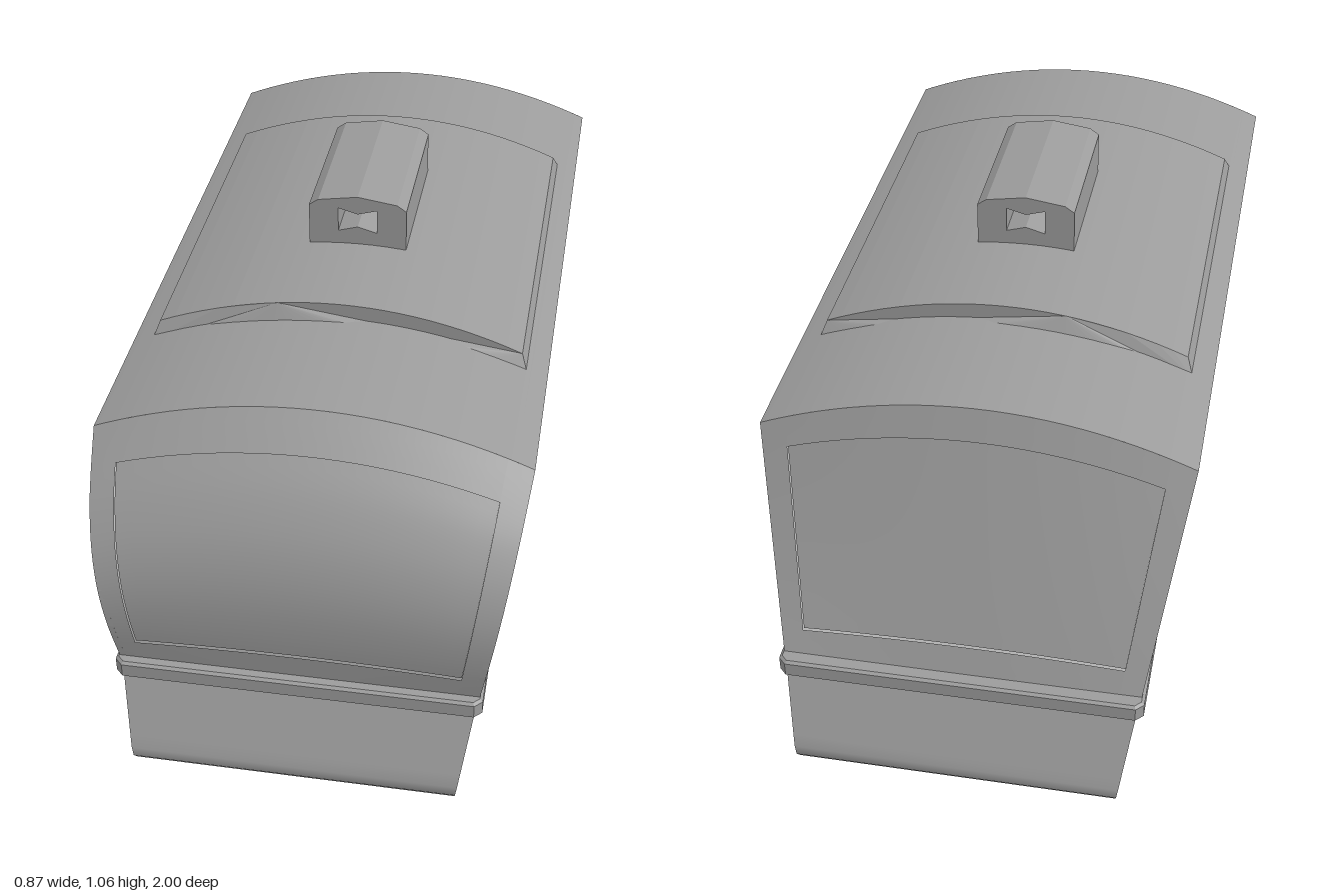
import * as THREE from 'three';

const shellMat = new THREE.MeshStandardMaterial({ color: 0x9c9c9c, side: THREE.DoubleSide });
const liningMat = new THREE.MeshStandardMaterial({ color: 0xcccccc, side: THREE.DoubleSide });

// Piecewise linear lookup in a list of [key, value]
function lookup(list, k) {
  for (let i = 1; i < list.length; i++) {
    const [a, va] = list[i - 1], [b, vb] = list[i];
    if (k <= b) return va + (vb - va) * Math.max(0, (k - a) / (b - a));
  }
  return list[list.length - 1][1];
}

// Hull rules by height: end position and half width
const hullEnd = [[0, 0.48], [0.14, 0.923], [0.152, 0.96], [0.165, 0.983], [0.185, 0.998], [0.205, 0.996], [0.23, 0.985], [0.35, 0.93]];
const hullWidth = [[0, 0.29], [0.16, 0.327], [0.35, 0.357]];

// Cabin rules: t runs from belt (0) to eave (1), u across the width (-1..1)
const Y0 = 0.38, EAVE = 0.82, CROWN = 0.092;
const cabinWidth = (y) => 0.364 + (0.071 * (y - Y0)) / (EAVE - Y0);
const roofY = (u) => EAVE + CROWN * (1 - u * u);
const nose = new THREE.SplineCurve([[0, 0.918], [0.22, 0.93], [0.42, 0.925], [0.6, 0.898], [0.76, 0.85], [0.88, 0.795], [1, 0.73]]
  .map(([t, z]) => new THREE.Vector2(t, z)));
const nosePts = nose.getPoints(24).map((p) => [p.x, p.y]);
const noseZ = (t) => lookup(nosePts, t);
const tailZ = (t) => -0.915 + 0.195 * t;
const cabinEnd = (zOf, off = 0, dir = 1) => (u, t) =>
  [dir * u * (0.364 + 0.071 * t), Y0 + t * (roofY(u) - Y0), zOf(t) + off];

function add(parent, name, geometry, [x, y, z] = [0, 0, 0], material = shellMat) {
  const m = new THREE.Mesh(geometry, material);
  m.name = name;
  m.position.set(x, y, z);
  parent.add(m);
  return m;
}

// Surface patch: f(u, v) gives a point, u and v inside the given ranges
function patch(f, nu, nv, [u0, u1] = [-1, 1], [v0, v1] = [0, 1]) {
  const g = new THREE.PlaneGeometry(1, 1, nu, nv), p = g.attributes.position;
  for (let i = 0; i < p.count; i++) {
    p.setXYZ(i, ...f(u0 + (p.getX(i) + 0.5) * (u1 - u0), v0 + (p.getY(i) + 0.5) * (v1 - v0)));
  }
  g.computeVertexNormals();
  return g;
}

const shapeOf = (pts) => new THREE.Shape(pts.map(([a, b]) => new THREE.Vector2(a, b)));

// Plate drawn in (z, y), leaned against a side whose half width is width(y)
function sidePlate(shape, width, depth, inset) {
  const g = new THREE.ExtrudeGeometry(shape, { depth, bevelEnabled: false, curveSegments: 8 });
  const p = g.attributes.position;
  for (let i = 0; i < p.count; i++) {
    const z = p.getX(i), y = p.getY(i), w = p.getZ(i);
    p.setXYZ(i, width(y) - inset - w, y, z);
  }
  g.computeVertexNormals();
  return g;
}

// Rounded at the outer end only, for the lower side panels
function lowerPanel(z0, z1) {
  const s = new THREE.Shape(), d = Math.sign(z1 - z0) * 0.05;
  s.moveTo(z0, 0.215);
  s.lineTo(z1 - d, 0.215);
  s.quadraticCurveTo(z1, 0.22, z1, 0.27);
  s.quadraticCurveTo(z1 - d * 0.2, 0.33, z1 - d, 0.33);
  s.lineTo(z0, 0.33);
  return s;
}

function buildHull(group) {
  const hull = new THREE.Group();
  hull.name = 'hull';
  const ys = hullEnd.map((e) => e[0]), n = ys.length - 1;
  const at = (v) => ys[Math.round(v * n)];
  for (const s of [1, -1]) {
    add(hull, 'hullEnd', patch((u, v) => [u * lookup(hullWidth, at(v)), at(v), lookup(hullEnd, at(v))], 1, n)).scale.z = s;
    add(hull, 'hullSide', patch((u, v) => [lookup(hullWidth, at(v)), at(v), -u * lookup(hullEnd, at(v))], 1, n)).scale.x = s;
    const panels = [lowerPanel(0.515, 0.885), lowerPanel(-0.5, -0.88),
      shapeOf([[-0.43, 0.215], [0.45, 0.215], [0.45, 0.33], [-0.43, 0.33]])];
    for (const p of panels) {
      add(hull, 'lowerPanel', sidePlate(p, (y) => lookup(hullWidth, y), 0.002, -0.0015)).scale.x = s;
    }
  }
  add(hull, 'hullBottom', patch((u, v) => [u * 0.29, 0, (1 - 2 * v) * -0.48], 1, 1));
  group.add(hull);
}

function buildBelt(group) {
  const ring = (x, z, c) => [[x - c, -z], [x, c - z], [x, z - c], [x - c, z], [c - x, z], [-x, z - c], [-x, c - z], [c - x, -z]];
  const s = shapeOf(ring(0.366, 0.936, 0.012));
  s.holes.push(shapeOf(ring(0.34, 0.9, 0.01)));
  const g = new THREE.ExtrudeGeometry(s, { depth: 0.03, bevelThickness: 0.005, bevelSize: 0.006, bevelSegments: 1 });
  g.rotateX(-Math.PI / 2);
  add(group, 'belt', g, [0, 0.354, 0]);
}

// Curved end wall: a frame of four strips around a recessed window
function buildEnd(cabin, name, zOf, dir) {
  const w = 0.88, t0 = 0.12, t1 = 0.88, f = cabinEnd(zOf, 0, dir);
  add(cabin, name + 'Frame', patch(f, 2, 25, [-1, -w]));
  add(cabin, name + 'Frame', patch(f, 2, 25, [w, 1]));
  add(cabin, name + 'Frame', patch(f, 22, 3, [-w, w], [0, t0]));
  add(cabin, name + 'Frame', patch(f, 22, 3, [-w, w], [t1, 1]));
  add(cabin, name + 'Window', patch(cabinEnd(zOf, -0.006 * dir, dir), 22, 19, [-w, w], [t0, t1]));
  add(cabin, name + 'Lining', patch(cabinEnd(zOf, -0.025 * dir, dir), 22, 25, [-0.96, 0.96], [0, 0.97]), [0, 0, 0], liningMat);
}

function buildCabin(group) {
  const cabin = new THREE.Group();
  cabin.name = 'cabin';
  buildEnd(cabin, 'front', noseZ, 1);
  buildEnd(cabin, 'rear', tailZ, -1);
  add(cabin, 'roof', patch((u, v) => [u * 0.435, roofY(u), 0.73 - 1.45 * v], 24, 1));

  // Side walls with recessed panes; the big opening on the right side stays free
  const edge = [...nosePts.map(([t, z]) => [z, Y0 + t * (EAVE - Y0)]), [tailZ(1), EAVE], [tailZ(0), Y0]];
  const windows = {
    frontSideWindow: [[0.515, 0.41], [0.835, 0.41], [0.845, 0.5], [0.825, 0.6], [0.775, 0.68], [0.73, 0.72], [0.68, 0.75], [0.515, 0.75]],
    middleWindow: [[-0.43, 0.41], [0.45, 0.41], [0.45, 0.75], [-0.43, 0.75]],
    rearSideWindow: [[-0.82, 0.41], [-0.5, 0.41], [-0.5, 0.75], [-0.665, 0.75]],
  };
  for (const s of [1, -1]) {
    const wall = shapeOf(edge);
    for (const [name, pts] of Object.entries(windows)) {
      wall.holes.push(shapeOf(pts));
      if (s < 0 && name === 'middleWindow') continue;
      add(cabin, name, sidePlate(shapeOf(pts), cabinWidth, 0.004, 0.005)).scale.x = s;
    }
    add(cabin, 'sideWall', sidePlate(wall, cabinWidth, 0.012, 0)).scale.x = s;
  }
  group.add(cabin);
}

function buildRoofTop(group) {
  // Raised roof section following the crown, flared towards its foot
  const top = [], foot = [];
  for (let i = -12; i <= 12; i++) {
    const u = i / 12, x = u * 0.395;
    top.unshift([u * 0.38, 0.945 - 0.08 * u * u]);
    foot.push([x, roofY(x / 0.435) - 0.01]);
  }
  const g = new THREE.ExtrudeGeometry(shapeOf([...foot, ...top]), { depth: 0.83, bevelEnabled: false });
  g.translate(0, 0, -0.415);
  const p = g.attributes.position;
  for (let i = 0; i < p.count; i++) {
    if (p.getY(i) < roofY(p.getX(i) / 0.435)) p.setZ(i, p.getZ(i) * 1.055);
  }
  g.computeVertexNormals();
  add(group, 'raisedRoof', g);

  // Hanger block with a through slot
  const block = shapeOf([[-0.105, 0.915], [0.105, 0.915], [0.105, 1.033], [0.085, 1.047], [0, 1.06], [-0.085, 1.047], [-0.105, 1.033]]);
  block.holes.push(shapeOf([[-0.042, 0.975], [0, 0.987], [0.042, 0.975], [0.042, 1.03], [0, 1.018], [-0.042, 1.03]]));
  add(group, 'hangerBlock', new THREE.ExtrudeGeometry(block, { depth: 0.35, bevelEnabled: false }), [0, 0, -0.173]);
}

function buildInterior(group) {
  const inside = new THREE.Group();
  inside.name = 'interior';
  const put = (name, g, ...pos) => add(inside, name, g, pos, liningMat);
  put('floor', new THREE.BoxGeometry(0.62, 0.01, 1.72), 0, 0.135, 0);
  // Lining of the closed side and the ceiling
  const sideLining = (u, v) => {
    const y = 0.14 + 0.68 * v, t = Math.max(0, (y - Y0) / (EAVE - Y0));
    return [0.31 + 0.11 * v, y, THREE.MathUtils.lerp(noseZ(t) - 0.03, tailZ(t) + 0.03, u)];
  };
  put('sideLining', patch(sideLining, 1, 24, [0, 1]), 0, 0, 0);
  put('ceiling', patch((u, v) => [u * 0.42, roofY(u * 0.966) - 0.016, 0.7 - 1.4 * v], 24, 1), 0, 0, 0);
  for (const s of [1, -1]) {
    put('tableTop', new THREE.BoxGeometry(0.16, 0.012, 0.26), 0, 0.36, s * 0.48);
    put('tableLeg', new THREE.CylinderGeometry(0.012, 0.012, 0.22, 12), 0, 0.25, s * 0.48);
    put('benchSeat', new THREE.BoxGeometry(0.6, 0.03, 0.16), 0, 0.25, s * 0.77);
    put('benchBack', new THREE.BoxGeometry(0.5, 0.16, 0.02), 0, 0.35, s * 0.845);
  }
  group.add(inside);
}

export function createModel() {
  const group = new THREE.Group();
  group.name = 'cableCabin';
  buildHull(group);
  buildBelt(group);
  buildCabin(group);
  buildRoofTop(group);
  buildInterior(group);
  return group;
}
